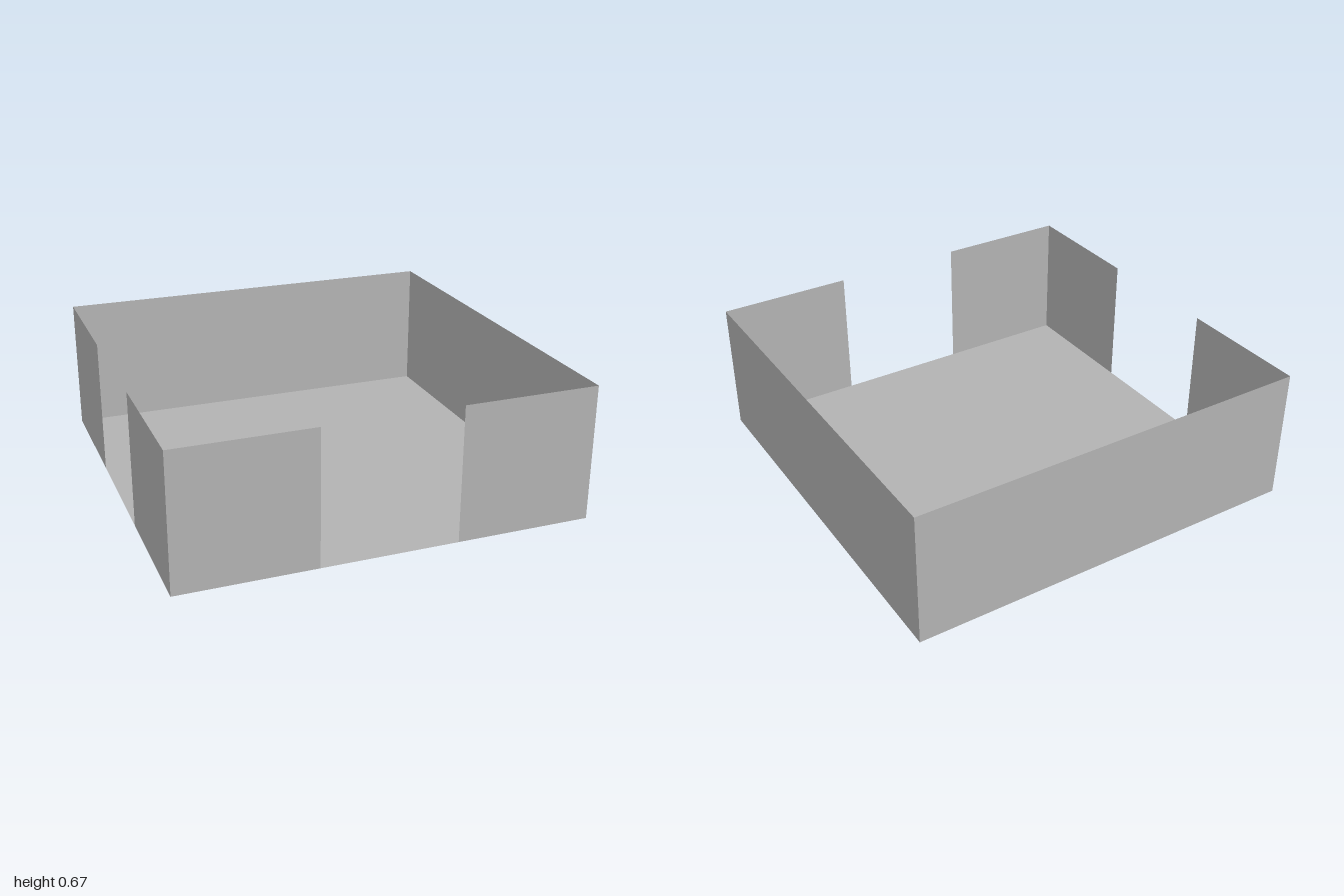
import * as THREE from 'three';

const SIZE = 2, HEIGHT = 2 / 3, THIRD = SIZE / 3;

export function createModel() {
  const model = new THREE.Group();
  model.name = 'openRoom';
  const grey = new THREE.MeshStandardMaterial({ color: 0xb2b2b2, side: THREE.DoubleSide });
  grey.name = 'plain grey';

  // Floor sheet
  const floor = new THREE.Mesh(new THREE.PlaneGeometry(SIZE, SIZE).rotateX(-Math.PI / 2), grey);
  floor.name = 'floor';
  model.add(floor);

  // One side of the room: sheets standing on the floor edge, turned to face outwards
  function addSide(name, angle, hasDoorway) {
    const side = new THREE.Group();
    side.name = name;
    const width = hasDoorway ? THIRD : SIZE;
    for (const x of hasDoorway ? [-THIRD, THIRD] : [0]) {
      const wall = new THREE.Mesh(new THREE.PlaneGeometry(width, HEIGHT), grey);
      wall.name = hasDoorway ? 'doorwayWall' : 'solidWall';
      wall.position.set(x, HEIGHT / 2, SIZE / 2);
      side.add(wall);
    }
    side.rotation.y = angle;
    model.add(side);
  }

  // Doorways in the front and the -x side; the other two sides are solid
  addSide('frontSide', 0, true);
  addSide('plusXSide', Math.PI / 2, false);
  addSide('backSide', Math.PI, false);
  addSide('minusXSide', -Math.PI / 2, true);
  return model;
}
